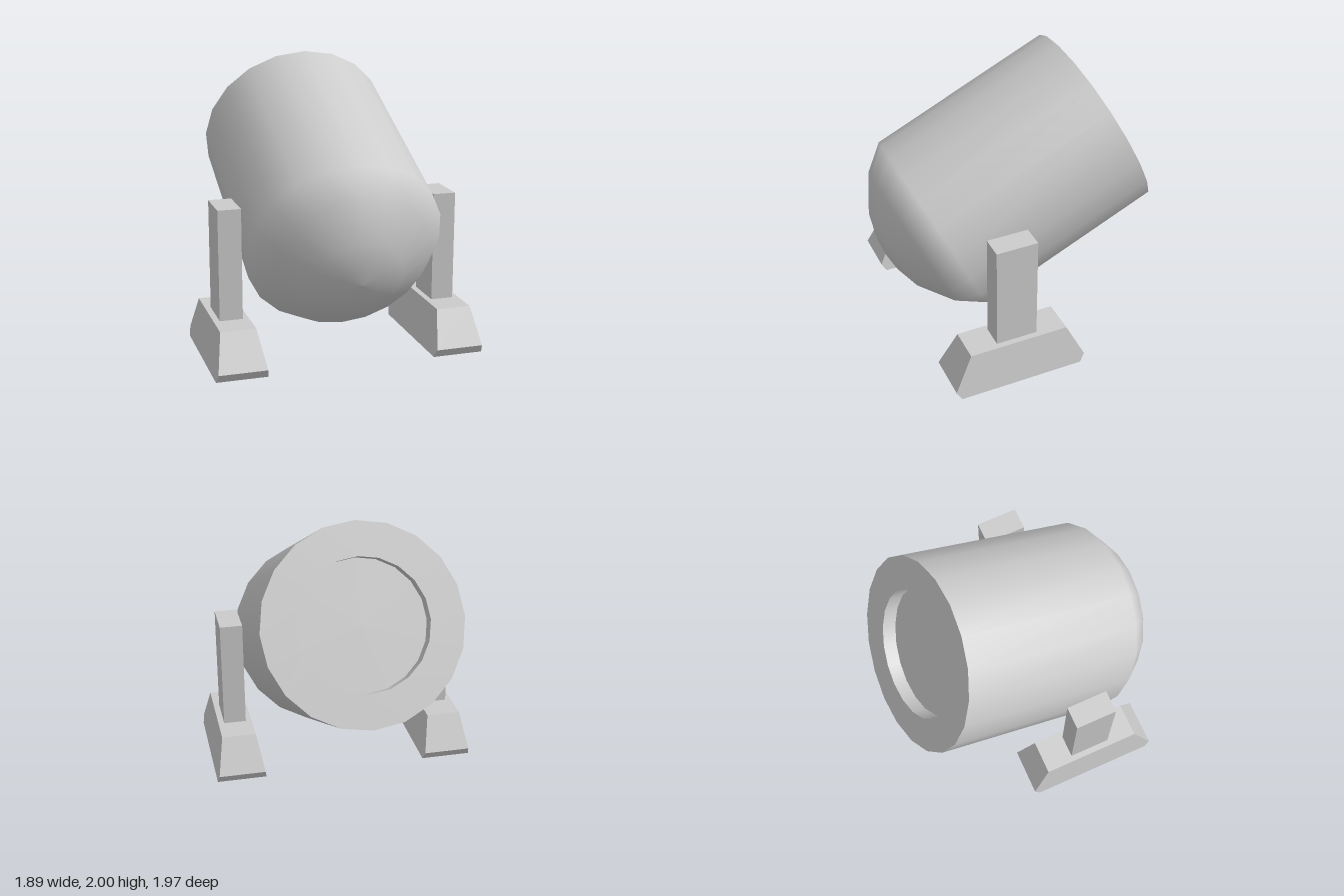
import * as THREE from 'three';

const SIDES = 20;
const RADIUS = 0.685, LENGTH = 1.373, BORE = 0.45, BORE_DEPTH = 0.1;
const DOME_R = 0.786, DOME_DEPTH = 0.4;

const material = new THREE.MeshStandardMaterial({ color: 0xcccccc });

function addMesh(parent, name, geometry) {
  const mesh = new THREE.Mesh(geometry, material);
  mesh.name = name;
  parent.add(mesh);
  return mesh;
}

const lathe = (points) =>
  new THREE.LatheGeometry(points.map(([r, y]) => new THREE.Vector2(r, y)), SIDES);

// Tilted barrel with a shallow spherical breech and a recessed muzzle
function createBarrel() {
  const barrel = new THREE.Group();
  barrel.name = 'barrel';
  const dome = [0, 9.7, 23.2, 44.4].map((deg) => {
    const a = THREE.MathUtils.degToRad(deg);
    return [DOME_R * Math.sin(a), DOME_R - DOME_DEPTH - DOME_R * Math.cos(a)];
  });
  const floor = LENGTH - BORE_DEPTH;
  addMesh(barrel, 'barrelShell', lathe([...dome, [RADIUS, 0], [RADIUS, LENGTH]]));
  addMesh(barrel, 'muzzleRim', lathe([[RADIUS, LENGTH], [BORE, LENGTH]]));
  addMesh(barrel, 'boreWall', lathe([[BORE, LENGTH], [BORE, floor]]));
  addMesh(barrel, 'boreFloor', lathe([[BORE, floor], [0, floor]]));
  barrel.rotation.x = THREE.MathUtils.degToRad(-65);
  barrel.position.set(0, 0.8, 0.554);
  return barrel;
}

// Foot: side profile extruded across, then narrowed towards the top
function footGeometry() {
  const profile = [[-0.16, 0], [0.74, 0], [0.775, 0.06], [0.645, 0.31], [-0.07, 0.31], [-0.195, 0.06]];
  const shape = new THREE.Shape(profile.map(([z, y]) => new THREE.Vector2(z, y)));
  const geometry = new THREE.ExtrudeGeometry(shape, { depth: 1, bevelEnabled: false });
  geometry.translate(0, 0, -0.5).rotateY(-Math.PI / 2);
  const pos = geometry.attributes.position;
  for (let i = 0; i < pos.count; i++) {
    pos.setX(i, pos.getX(i) * (0.356 - 0.36 * pos.getY(i)));
  }
  geometry.computeVertexNormals();
  return geometry;
}

// Upright post standing on a foot, one on each side
function createSupport(side) {
  const support = new THREE.Group();
  support.name = side > 0 ? 'leftSupport' : 'rightSupport';
  addMesh(support, 'foot', footGeometry());
  addMesh(support, 'post', new THREE.BoxGeometry(0.16, 0.77, 0.297)).position.set(0, 0.695, 0.288);
  support.position.x = side * 0.767;
  return support;
}

export function createModel() {
  const model = new THREE.Group();
  model.name = 'mortar';
  model.add(createBarrel(), createSupport(1), createSupport(-1));
  return model;
}
